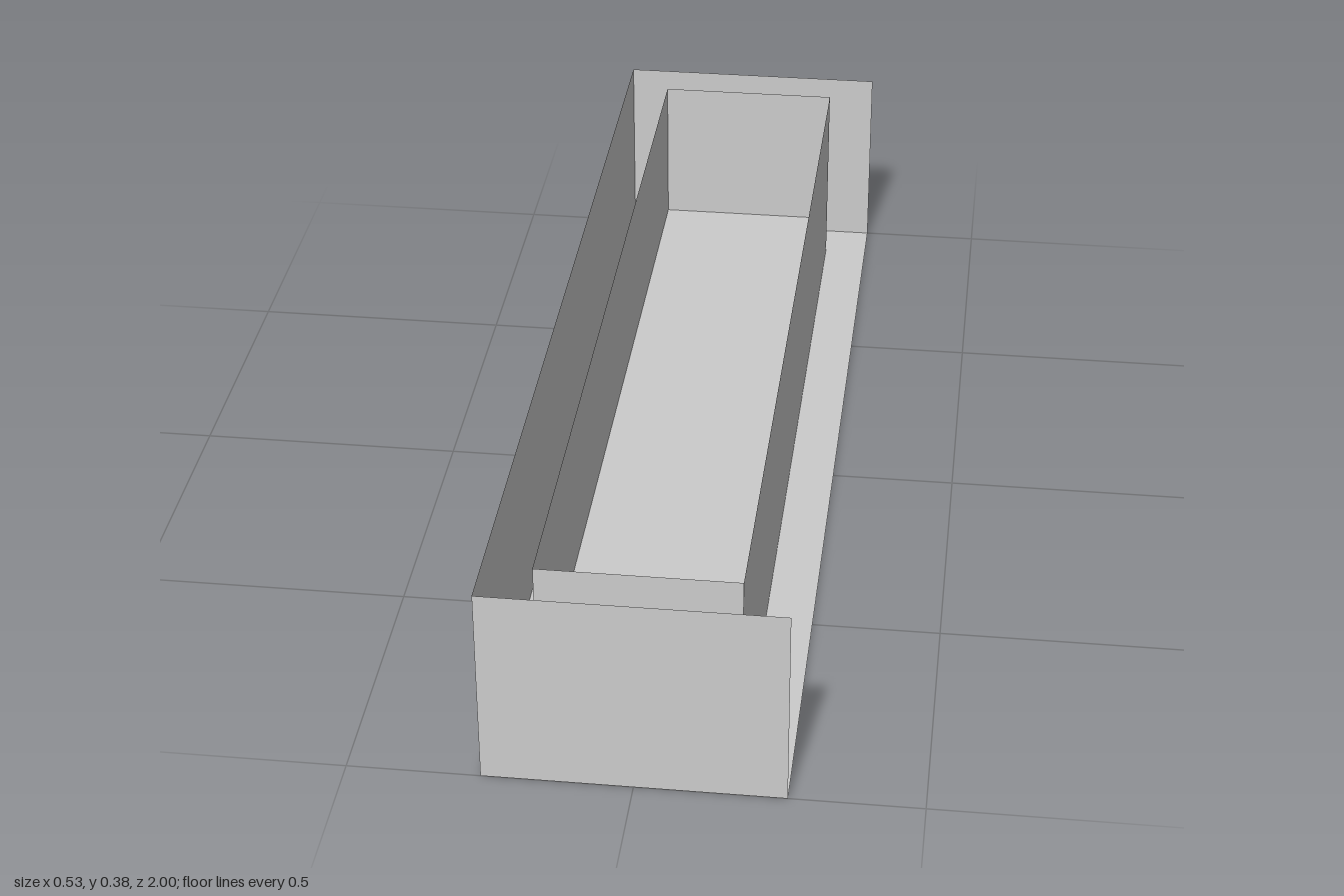
import * as THREE from 'three';

const W = 0.265, L = 1, H = 0.38;    // outer half width, half length, height
const w = 0.178, l = 0.912;          // inner half width, half length
const FLOOR = 0.08;                  // height of the recessed trough floor

export function createModel() {
  const model = new THREE.Group();
  model.name = 'planterTrough';
  const material = new THREE.MeshStandardMaterial({
    color: 0xcccccc, flatShading: true, side: THREE.DoubleSide,
  });

  const add = (parent, name, geometry) => {
    const mesh = new THREE.Mesh(geometry, material);
    mesh.name = name;
    parent.add(mesh);
  };
  // thin upright sheets, facing +z or +x before placing
  const endWall = (parent, name, halfWidth, z) =>
    add(parent, name, new THREE.PlaneGeometry(2 * halfWidth, H)
      .rotateY(z > 0 ? 0 : Math.PI).translate(0, H / 2, z));
  const sideWall = (parent, name, halfLength, x) =>
    add(parent, name, new THREE.PlaneGeometry(2 * halfLength, H)
      .rotateY(Math.sign(x) * Math.PI / 2).translate(x, H / 2, 0));

  // outer shell, open along the +x side
  const shell = new THREE.Group();
  shell.name = 'outerShell';
  endWall(shell, 'frontWall', W, L);
  endWall(shell, 'backWall', W, -L);
  sideWall(shell, 'rightWall', L, -W);

  // inner trough, closed on all four sides
  const trough = new THREE.Group();
  trough.name = 'innerTrough';
  for (const s of [1, -1]) {
    endWall(trough, s > 0 ? 'innerFrontWall' : 'innerBackWall', w, s * l);
    sideWall(trough, s > 0 ? 'innerLeftWall' : 'innerRightWall', l, s * w);
  }
  add(trough, 'troughFloor', new THREE.PlaneGeometry(2 * w, 2 * l)
    .rotateX(-Math.PI / 2).translate(0, FLOOR, 0));

  // flat base ring joining the shell to the trough
  const rect = (Type, a, b) => new Type([[-a, -b], [a, -b], [a, b], [-a, b]]
    .map(([x, y]) => new THREE.Vector2(x, y)));
  const ring = rect(THREE.Shape, W, L);
  ring.holes.push(rect(THREE.Path, w, l));
  add(model, 'baseRing', new THREE.ShapeGeometry(ring).rotateX(Math.PI / 2));

  model.add(shell, trough);
  return model;
}
